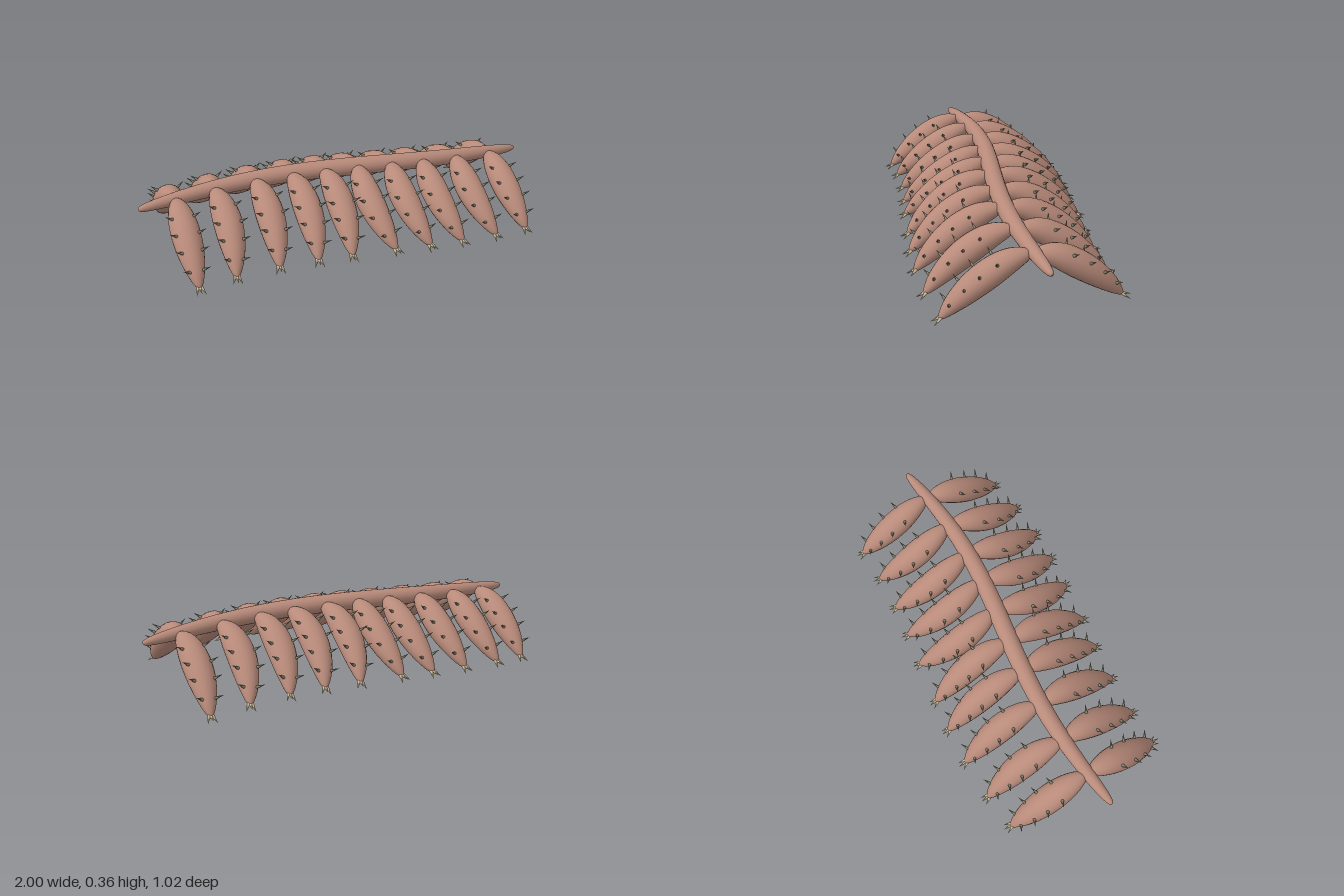
import * as THREE from 'three';

const V = (x, y, z) => new THREE.Vector3(x, y, z);
const skin = new THREE.MeshStandardMaterial({ color: 0xb88a7a });
const thorn = new THREE.MeshStandardMaterial({ color: 0x858470 });
const horn = new THREE.MeshStandardMaterial({ color: 0xc8b898 });

// frame on a curve: tangent, side (near ref) and their cross product
function frame(curve, t, ref) {
  const p = curve.getPointAt(t), T = curve.getTangentAt(t);
  const S = ref.clone().addScaledVector(T, -T.dot(ref)).normalize();
  return { p, T, S, B: T.clone().cross(S) };
}

// oval body of changing radius swept along a curve, closed at both ends
function sweep(curve, radius, ref, rings, sides, flat) {
  const pos = [], index = [];
  for (let i = 0; i <= rings; i++) {
    const t = (1 - Math.cos(Math.PI * i / rings)) / 2;
    const { p, S, B } = frame(curve, t, ref);
    const r = Math.max(radius(t), 0.0005);
    for (let j = 0; j < sides; j++) {
      const a = j / sides * Math.PI * 2;
      const v = p.clone().addScaledVector(S, r * Math.cos(a)).addScaledVector(B, flat * r * Math.sin(a));
      pos.push(v.x, v.y, v.z);
      if (i < rings) {
        const k = (j + 1) % sides, a0 = i * sides, b0 = a0 + sides;
        index.push(a0 + j, a0 + k, b0 + j, a0 + k, b0 + k, b0 + j);
      }
    }
  }
  const g = new THREE.BufferGeometry();
  g.setAttribute('position', new THREE.Float32BufferAttribute(pos, 3));
  g.setIndex(index);
  g.computeVertexNormals();
  return g;
}

function add(parent, name, geometry, material) {
  const m = new THREE.Mesh(geometry, material);
  m.name = name;
  parent.add(m);
  return m;
}

// cone standing on point p, pointing along dir
const cone = new THREE.ConeGeometry(0.009, 0.05, 8).translate(0, 0.02, 0);
function spike(parent, name, p, dir, material) {
  const m = add(parent, name, cone, material);
  m.position.copy(p);
  m.quaternion.setFromUnitVectors(V(0, 1, 0), dir.normalize());
}

const stemY = x => 0.267 + 0.048 * Math.cos(x * Math.PI / 2);
const stemZ = x => 0.045 * Math.sin(x * Math.PI);
const lobeRadius = t => 0.068 * Math.pow(Math.max(0, Math.sin(Math.PI * Math.pow(t, 0.85))), 0.6);

// one drooping lobe with two rows of thorns and a clawed tip
function makeLobe(x, dir) {
  const lobe = new THREE.Group();
  const lean = Math.sign(x) * (Math.abs(x) > 0.7 ? 0.006 : 0.028) + 0.008;
  const reach = 1.015 + 0.095 * Math.cos(x * Math.PI / 2); // middle lobes are longer
  const path = [[0.005, 0, 0.3], [0.1, -0.032, -0.2], [0.21, -0.1, -0.25], [0.32, -0.187, 0.3], [0.395, -0.26, 1]];
  const curve = new THREE.CatmullRomCurve3(path.map(([out, drop, k]) =>
    V(x + lean * k, stemY(x) + drop, stemZ(x) + dir * out * reach)));
  const ref = V(1, 0, 0);
  add(lobe, 'lobeBody', sweep(curve, lobeRadius, ref, 26, 20, 0.93), skin);
  for (const t of [0.31, 0.49, 0.66, 0.84]) {
    const { p, S, B } = frame(curve, t, ref);
    for (const side of [-1, 1]) {
      const d = B.clone().multiplyScalar(dir * 0.62).addScaledVector(S, side * 0.78);
      spike(lobe, 'thorn', p.clone().addScaledVector(d, lobeRadius(t) - 0.005), d, thorn);
    }
  }
  const { p, T, S, B } = frame(curve, 0.98, ref);
  for (const k of [-1, 0, 1]) {
    const d = T.clone().addScaledVector(S, k * 0.35).addScaledVector(B, dir * (k ? 0.15 : 0.6));
    spike(lobe, 'tipClaw', p.clone().addScaledVector(S, k * 0.008), d, horn);
  }
  return lobe;
}

export function createModel() {
  const model = new THREE.Group();

  // wavy, arched central stem
  const points = [];
  for (let i = 0; i <= 16; i++) {
    const x = -1 + i / 8;
    points.push(V(x, stemY(x), stemZ(x)));
  }
  const stemRadius = t => 0.045 * Math.pow(Math.max(0, 1 - (2 * t - 1) ** 2), 0.32);
  add(model, 'stem', sweep(new THREE.CatmullRomCurve3(points), stemRadius, V(0, 0, 1), 60, 20, 1), skin);

  // ten pairs of lobes
  for (const x of [-0.822, -0.627, -0.425, -0.243, -0.082, 0.077, 0.248, 0.417, 0.608, 0.816]) {
    for (const dir of [-1, 1]) {
      const lobe = makeLobe(x, dir);
      lobe.name = dir > 0 ? 'frontLobe' : 'backLobe';
      model.add(lobe);
    }
  }

  // rest the lowest claw on the ground
  model.updateMatrixWorld(true);
  const low = new THREE.Box3().setFromObject(model, true).min.y;
  model.children.forEach(c => { c.position.y -= low; });
  return model;
}
